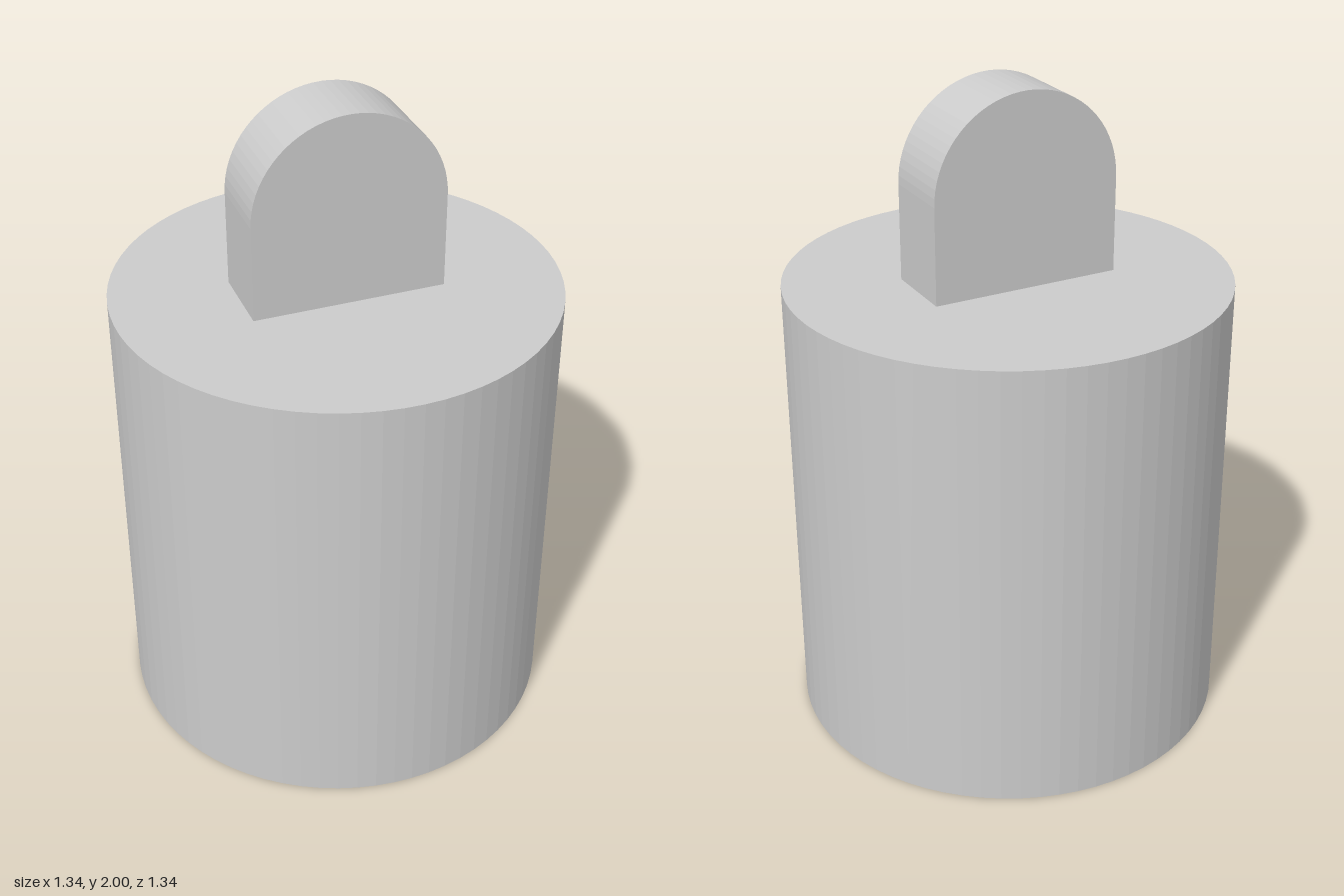
import * as THREE from 'three';

const BODY_RADIUS = 0.67;
const BODY_HEIGHT = 1.412;
const TAB_RADIUS = 0.294;
const TAB_DEPTH = 0.235;
const TOTAL_HEIGHT = 2;

export function createModel() {
  const group = new THREE.Group();
  const material = new THREE.MeshStandardMaterial({ color: 0xcccccc, flatShading: true });

  // Solid cylindrical body
  const body = new THREE.Mesh(
    new THREE.CylinderGeometry(BODY_RADIUS, BODY_RADIUS, BODY_HEIGHT, 72), material);
  body.name = 'body';
  body.position.y = BODY_HEIGHT / 2;
  group.add(body);

  // Upright tab with a half-round top
  const shape = new THREE.Shape();
  shape.moveTo(-TAB_RADIUS, BODY_HEIGHT);
  shape.lineTo(TAB_RADIUS, BODY_HEIGHT);
  shape.absarc(0, TOTAL_HEIGHT - TAB_RADIUS, TAB_RADIUS, 0, Math.PI, false);
  shape.closePath();
  const tabGeometry = new THREE.ExtrudeGeometry(shape, {
    depth: TAB_DEPTH, bevelEnabled: false, curveSegments: 18,
  });
  tabGeometry.translate(0, 0, -TAB_DEPTH / 2);
  const tab = new THREE.Mesh(tabGeometry, material);
  tab.name = 'topTab';
  group.add(tab);

  return group;
}
